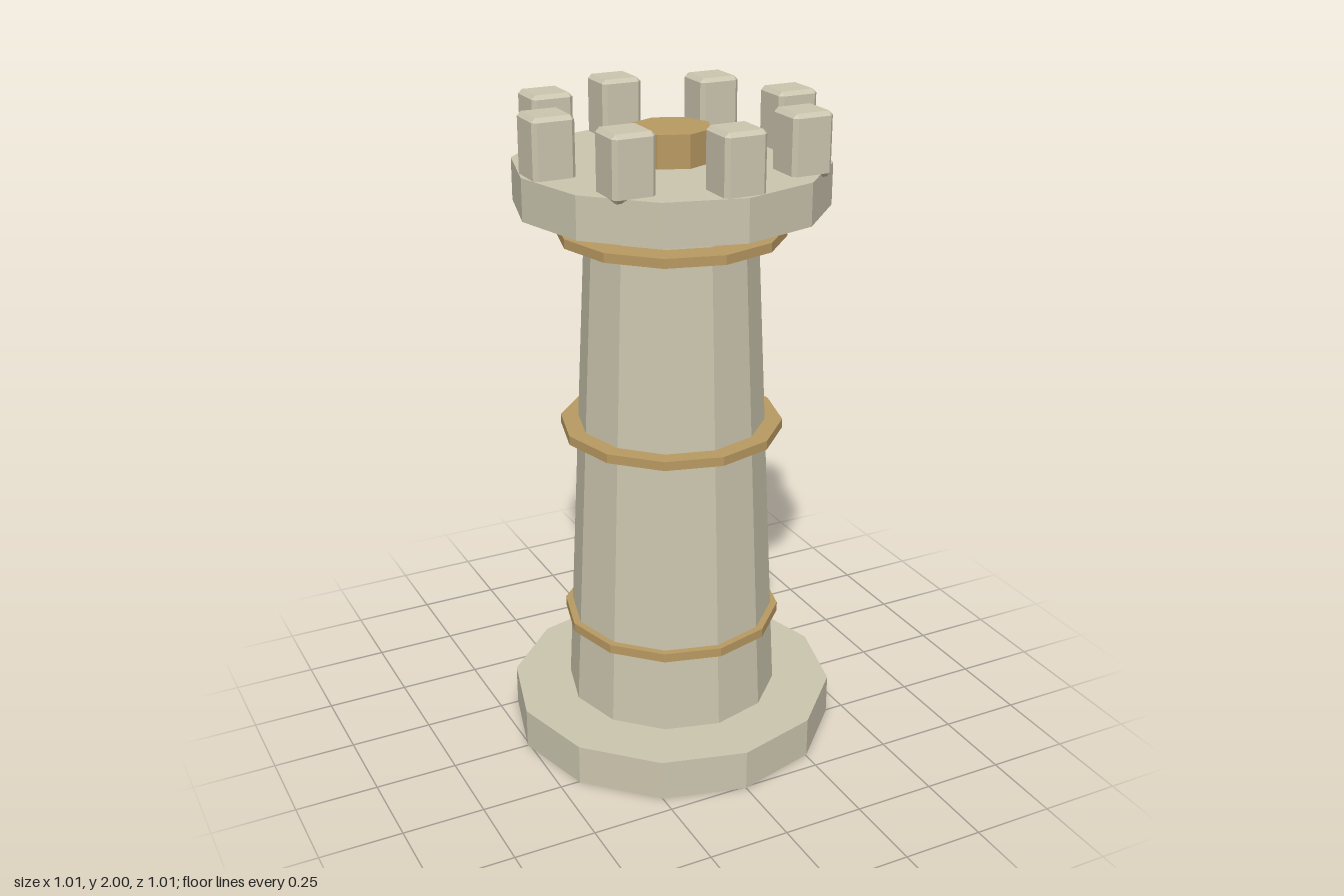
import * as THREE from 'three';
import { ConvexGeometry } from 'three/addons/geometries/ConvexGeometry.js';

const stone = new THREE.MeshStandardMaterial({ color: 0xcbc5ae });
stone.name = 'stone';
stone.flatShading = true;
const bronze = new THREE.MeshStandardMaterial({ color: 0xb99a62 });
bronze.name = 'bronze';
bronze.flatShading = true;

// Faceted drum between two heights
function drum(name, rTop, rBottom, y0, y1, sides, material) {
  const mesh = new THREE.Mesh(new THREE.CylinderGeometry(rTop, rBottom, y1 - y0, sides), material);
  mesh.position.y = (y0 + y1) / 2;
  mesh.name = name;
  return mesh;
}

// Box with every edge chamfered
function chamferedBox(w, h, d, c) {
  const points = [];
  for (const x of [-1, 1]) for (const y of [-1, 1]) for (const z of [-1, 1]) {
    for (let axis = 0; axis < 3; axis++) {
      const inset = [c, c, c];
      inset[axis] = 0;
      points.push(new THREE.Vector3(
        x * (w / 2 - inset[0]), y * (h / 2 - inset[1]), z * (d / 2 - inset[2])));
    }
  }
  return new ConvexGeometry(points);
}

export function createModel() {
  const tower = new THREE.Group();
  tower.name = 'tower';

  // Plinth, tapered shaft and overhanging platform
  tower.add(drum('base', 0.507, 0.507, 0, 0.127, 12, stone));
  tower.add(drum('shaft', 0.25, 0.33, 0.1, 1.72, 12, stone));
  tower.add(drum('platform', 0.46, 0.46, 1.704, 1.828, 12, stone));

  // Bands around the shaft
  for (const y of [0.385, 1.02, 1.624]) {
    tower.add(drum('band', 0.337, 0.337, y - 0.014, y + 0.014, 12, bronze));
  }

  // Hub on the platform
  tower.add(drum('hub', 0.12, 0.12, 1.81, 1.925, 8, bronze));

  // Ring of square merlons, all aligned with the axes
  const merlons = new THREE.Group();
  merlons.name = 'merlons';
  const block = chamferedBox(0.126, 0.184, 0.126, 0.012);
  for (let i = 0; i < 8; i++) {
    const a = (i * Math.PI) / 4;
    const merlon = new THREE.Mesh(block, stone);
    merlon.name = 'merlon';
    merlon.position.set(0.382 * Math.sin(a), 1.908, 0.382 * Math.cos(a));
    merlons.add(merlon);
  }
  tower.add(merlons);
  return tower;
}
